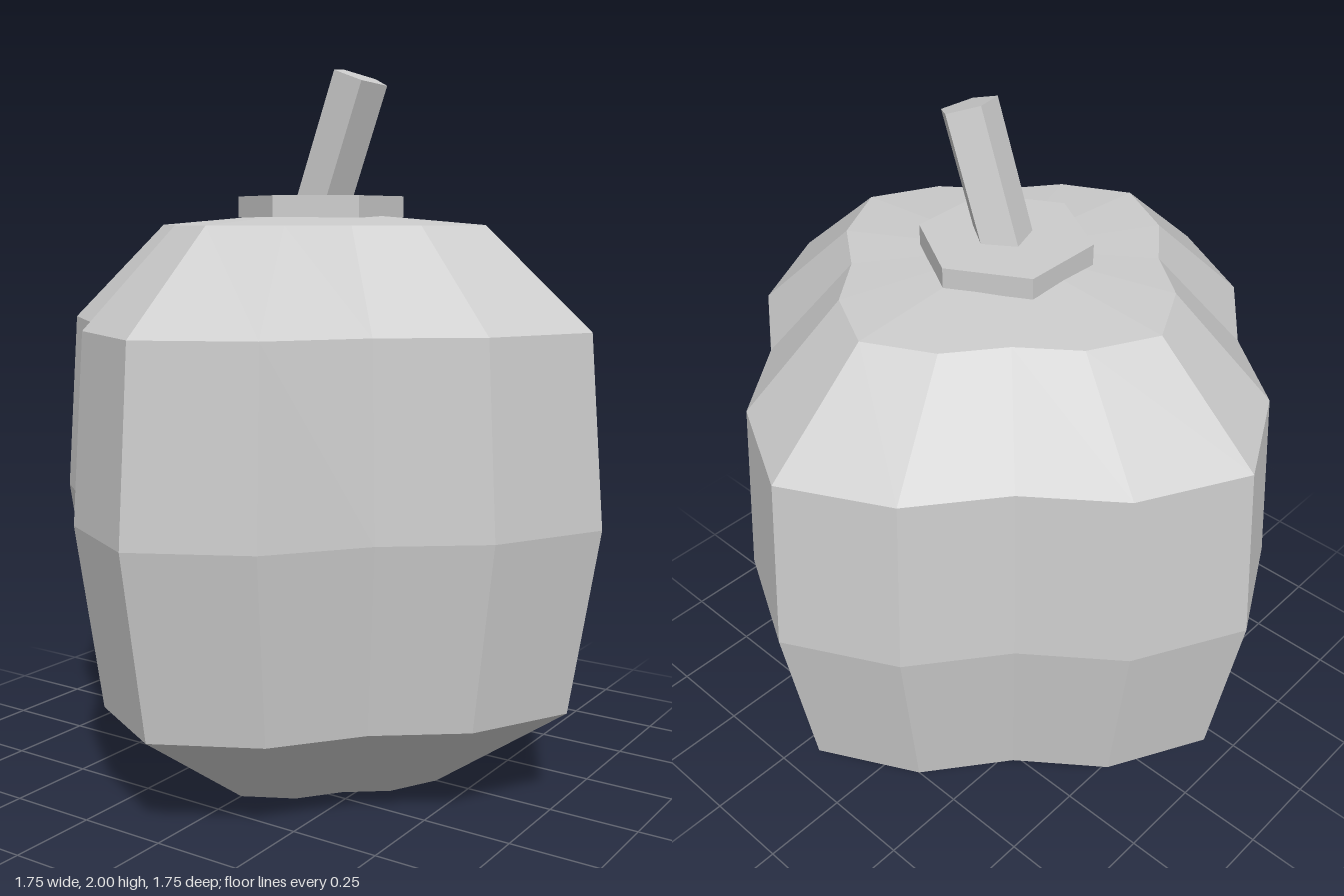
import * as THREE from 'three';

const material = new THREE.MeshStandardMaterial({ color: 0xcccccc, flatShading: true });

function addPart(group, name, geometry) {
  const mesh = new THREE.Mesh(geometry, material);
  mesh.name = name;
  group.add(mesh);
  return mesh;
}

// Lathe whose radius swells and shrinks into four lobes
function lobedLathe(profile, segments, lobes, depth) {
  const geometry = new THREE.LatheGeometry(profile.map(([r, y]) => new THREE.Vector2(r, y)), segments);
  const pos = geometry.attributes.position;
  for (let i = 0; i < pos.count; i++) {
    const x = pos.getX(i), z = pos.getZ(i);
    const s = 1 + depth * Math.cos(lobes * Math.atan2(x, z));
    pos.setX(i, x * s);
    pos.setZ(i, z * s);
  }
  geometry.computeVertexNormals();
  return geometry;
}

export function createModel() {
  const group = new THREE.Group();
  group.name = 'pumpkin';

  // Body, with a dimpled underside and a shallow domed top
  const profile = [
    [0, 0.09], [0.353, 0], [0.703, 0.28], [0.778, 0.79],
    [0.741, 1.3], [0.467, 1.57], [0, 1.61],
  ];
  addPart(group, 'body', lobedLathe(profile, 16, 4, 0.125));

  // Hexagonal collar under the stem
  const collar = addPart(group, 'collar', new THREE.CylinderGeometry(0.235, 0.235, 0.06, 6));
  collar.position.y = 1.62;

  // Leaning five-sided stem, its ridge toward the back
  const stemGeometry = new THREE.CylinderGeometry(0.08, 0.08, 0.4, 5);
  stemGeometry.rotateY(Math.PI);
  const stem = addPart(group, 'stem', stemGeometry);
  stem.rotation.z = -0.35;
  stem.position.set(0.063, 1.786, 0);

  return group;
}
